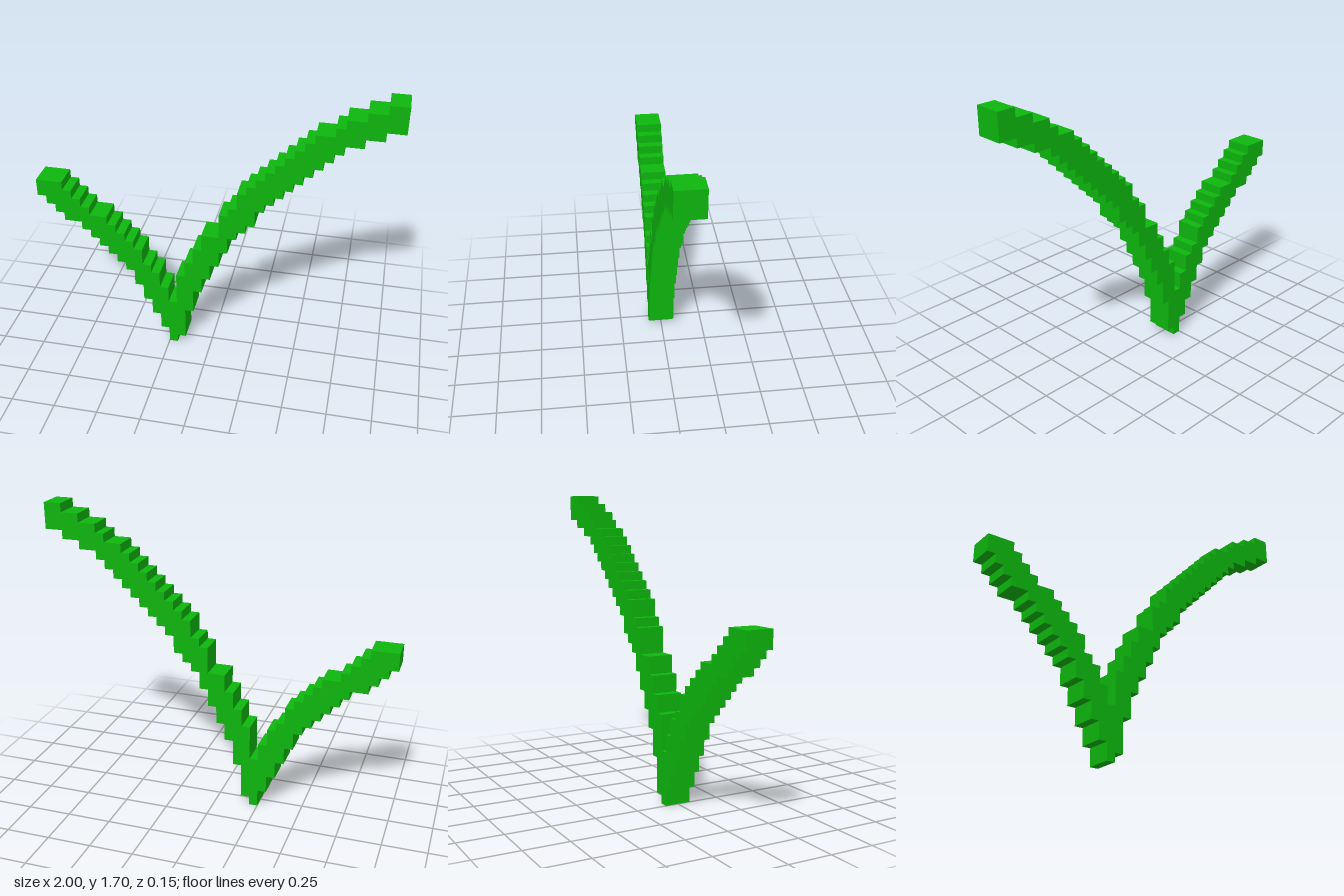
import * as THREE from 'three';

const UNIT = 0.05; // size of one block
const DEPTH = 3 * UNIT;

// Height in blocks of the upper and lower edge of each column, from -x to +x
const TOPS = [
  21, 21, 21, 20, 19, 18, 17, 17, 16, 15, 14, 13, 11, 10, 8, 6, // short arm
  10, 12, 14, 16, 16, 19, 20, 22, 23, 24, 25, 26, 27, 28, 29, 30, 30, 31, 32, 32, 33, 33, 34, 34, // long arm
];
const BOTTOMS = [
  19, 18, 17, 16, 16, 15, 14, 13, 12, 11, 10, 8, 6, 4, 2, 0,
  1, 5, 8, 10, 12, 14, 16, 17, 18, 20, 21, 22, 23, 24, 25, 26, 27, 28, 29, 29, 30, 30, 31, 31,
];

// Stair-stepped edge through the column heights, one step per change of height
function steppedEdge(heights) {
  const points = [];
  const add = (column, h) => points.push(new THREE.Vector2(column * UNIT - 1, h * UNIT));
  heights.forEach((h, i) => {
    if (h !== heights[i - 1]) add(i, h);
    if (h !== heights[i + 1]) add(i + 1, h);
  });
  return points;
}

export function createModel() {
  const group = new THREE.Group();
  group.name = 'blockTick';

  const green = new THREE.MeshStandardMaterial({ color: 0x0db50d });
  green.name = 'green';

  // Tick: lower edge left to right, then upper edge back again
  const outline = [...steppedEdge(BOTTOMS), ...steppedEdge(TOPS).reverse()];
  const geometry = new THREE.ExtrudeGeometry(new THREE.Shape(outline), {
    depth: DEPTH,
    bevelEnabled: false,
  });
  geometry.translate(0, 0, -DEPTH / 2);

  const tick = new THREE.Mesh(geometry, green);
  tick.name = 'tick';
  group.add(tick);
  return group;
}
